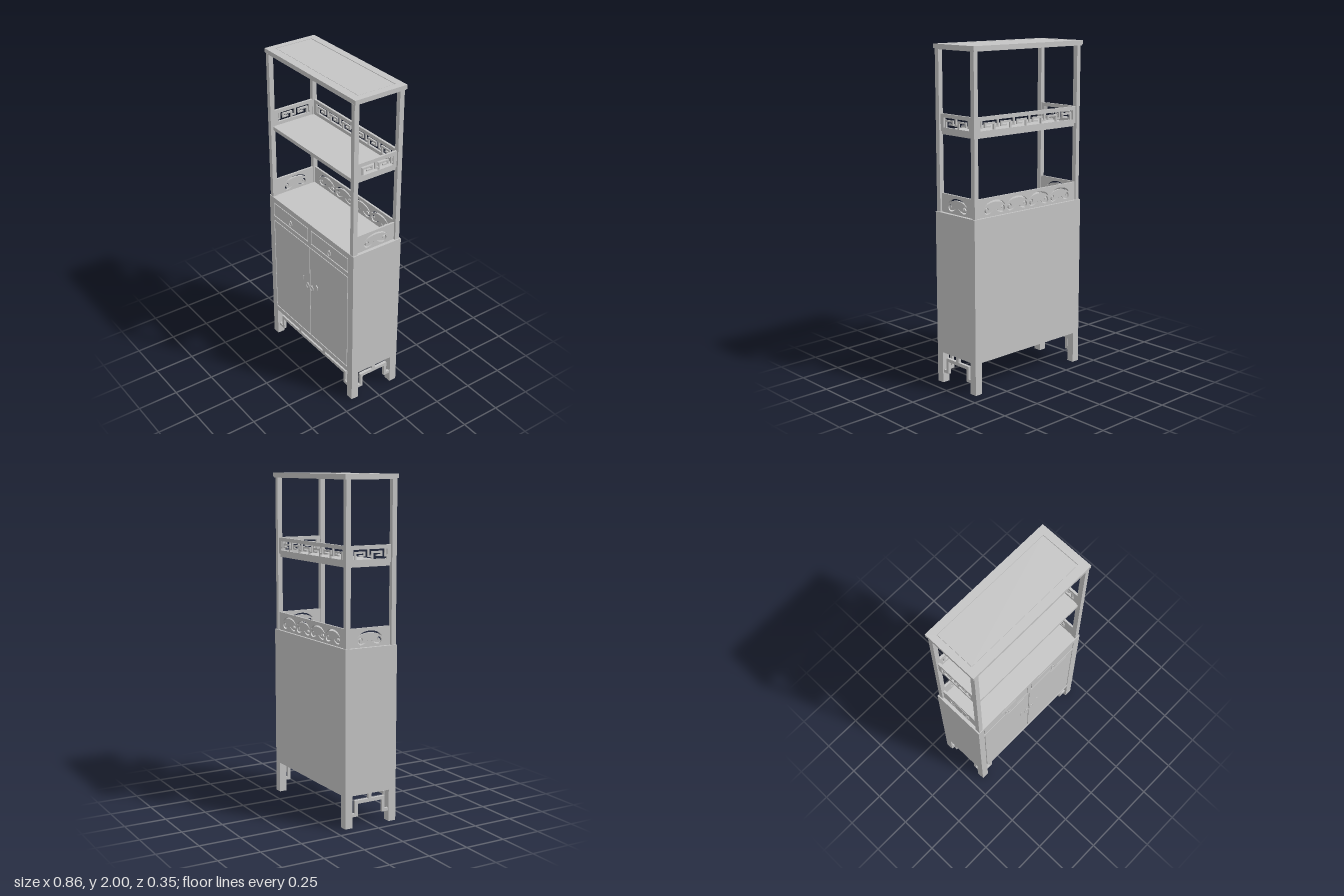
import * as THREE from 'three';

const grey = new THREE.MeshStandardMaterial({ color: 0xc4c4c4 });
grey.name = 'plain grey';

const mesh = (geo, name, parent) => {
  const m = new THREE.Mesh(geo, grey);
  m.name = name;
  parent.add(m);
  return m;
};

// Box given by its lower and upper bounds
function box(parent, name, x0, x1, y0, y1, z0, z1) {
  const m = mesh(new THREE.BoxGeometry(x1 - x0, y1 - y0, z1 - z0), name, parent);
  m.position.set((x0 + x1) / 2, (y0 + y1) / 2, (z0 + z1) / 2);
  return m;
}

const rect = (x0, x1, y0, y1) => [[x0, y0], [x1, y0], [x1, y1], [x0, y1]].map(p => new THREE.Vector2(...p));

// Flat board with cut-outs, from z = 0 to z = depth
function board(parent, name, outline, holes, depth) {
  const s = new THREE.Shape(outline);
  holes.forEach(h => s.holes.push(new THREE.Path(h)));
  return mesh(new THREE.ExtrudeGeometry(s, { depth, bevelEnabled: false, curveSegments: 8 }), name, parent);
}

// Closed ribbon following a curve, thin at both ends
function ribbon(points, width) {
  const curve = new THREE.CatmullRomCurve3(points.map(p => new THREE.Vector3(p[0], p[1], 0)));
  const a = [], b = [], n = 24;
  for (let i = 0; i <= n; i++) {
    const p = curve.getPoint(i / n), t = curve.getTangent(i / n);
    const w = width * (0.25 + 0.75 * Math.sin(Math.PI * i / n)) / 2;
    a.push(new THREE.Vector2(p.x - t.y * w, p.y + t.x * w));
    b.unshift(new THREE.Vector2(p.x + t.y * w, p.y - t.x * w));
  }
  return a.concat(b);
}

// Cloud scroll: an arched slot above and a curl on each side
function scroll(cx, s) {
  const at = pts => pts.map(([x, y]) => [cx + x * s, y]);
  const curl = [[0.012, 0.035], [0.035, 0.022], [0.062, 0.018], [0.074, 0.034], [0.064, 0.05], [0.05, 0.046], [0.05, 0.036]];
  return [
    ribbon(at([[-0.08, 0.058], [-0.05, 0.078], [0, 0.087], [0.05, 0.078], [0.08, 0.058]]), 0.011),
    ribbon(at(curl), 0.01),
    ribbon(at(curl.map(([x, y]) => [-x, y])), 0.01),
  ];
}

function scrollPanel(parent, name, half, count) {
  const holes = [], pitch = 0.176;
  for (let i = 0; i < count; i++) holes.push(...scroll((i - (count - 1) / 2) * pitch, 1));
  return board(parent, name, rect(-half, half, 0, 0.11), holes, 0.012);
}

// Railing: open frame filled with a running key pattern
function fretRail(parent, name, half, count) {
  const g = new THREE.Group();
  g.name = name;
  parent.add(g);
  const w = half - 0.025, y0 = 0.022, y1 = 0.078, t = 0.011;
  board(g, 'railFrame', rect(-half, half, 0, 0.1), [rect(-w, w, y0, y1)], 0.014);
  const p = 2 * w / count;
  for (let i = 0; i < count; i++) {
    const x = -w + i * p;
    const bar = (a, b, c, d) => box(g, 'keyBar', x + a * p, x + b * p, c, d, 0.002, 0.012);
    bar(0.08, 0.08 + t / p, y0, y1 - 0.012);
    bar(0.08, 0.72, y1 - 0.012 - t, y1 - 0.012);
    bar(0.72 - t / p, 0.72, y0 + 0.016, y1 - 0.012 - t);
    bar(0.36, 0.72 - t / p, y0 + 0.016, y0 + 0.016 + t * 0.8);
    bar(0.86, 0.86 + t / p, y0 + 0.012, y1);
    bar(0.86 + t / p, 1.08 - (i === count - 1 ? 0.08 : 0), y0 + 0.012, y0 + 0.012 + t * 0.8);
  }
  return g;
}

// Stepped apron between two legs, centred on its own origin
function apron(parent, name, half, step, struts) {
  const g = new THREE.Group();
  g.name = name;
  parent.add(g);
  const t = 0.018, d = 0.018;
  box(g, 'apronRail', -step, step, 0.137, 0.157, 0, d);
  for (const s of [-1, 1]) {
    box(g, 'apronDrop', s * (step - t / 2) - t / 2, s * (step - t / 2) + t / 2, 0.062, 0.137, 0, d);
    const a = s * step, b = s * half;
    box(g, 'apronFoot', Math.min(a, b), Math.max(a, b), 0.062, 0.08, 0, d);
  }
  struts.forEach(x => box(g, 'apronStrut', x - 0.011, x + 0.011, 0.157, 0.19, 0, d));
  return g;
}

export function createModel() {
  const model = new THREE.Group();
  model.name = 'displayCabinet';
  const front = 0.16, back = -0.18, mid = -0.01;

  // Cupboard carcass and legs
  box(model, 'cupboardBody', -0.43, 0.43, 0.19, 1.04, back, front - 0.008);
  for (const s of [-1, 1]) {
    for (const z of [front - 0.0235, back + 0.0235]) {
      box(model, 'leg', s * 0.4065 - 0.0235, s * 0.4065 + 0.0235, 0, 0.19, z - 0.0235, z + 0.0235);
    }
  }

  // Front frame with flush drawers and doors set in narrow grooves
  const openings = [
    ['drawerFront', -0.387, -0.018, 0.908, 1.005], ['drawerFront', 0.012, 0.381, 0.908, 1.005],
  ];
  const doorHole = rect(-0.387, 0.381, 0.222, 0.88);
  board(model, 'frontFrame', rect(-0.43, 0.43, 0.19, 1.04),
    [...openings.map(o => rect(...o.slice(1))), doorHole], 0.008).position.z = front - 0.008;
  const gap = 0.006;
  [...openings, ['door', -0.387, 0, 0.222, 0.88], ['door', -0.006, 0.381, 0.222, 0.88]].forEach(([name, x0, x1, y0, y1]) =>
    box(model, name, x0 + gap, x1 - gap, y0 + gap, y1 - gap, front - 0.008, front - 0.0005));

  // Drop pulls and leaf-shaped plates
  const pull = (x, y) => {
    const ring = mesh(new THREE.TorusGeometry(0.014, 0.003, 6, 16), 'dropPull', model);
    ring.scale.y = 1.25;
    ring.position.set(x, y, front + 0.003);
    const stud = mesh(new THREE.CylinderGeometry(0.004, 0.004, 0.01, 8).rotateX(Math.PI / 2), 'pullStud', model);
    stud.position.set(x, y + 0.018, front + 0.003);
  };
  pull(-0.2, 0.943);
  pull(0.2, 0.943);
  for (const s of [-1, 1]) {
    pull(s * 0.021 - 0.003, 0.59);
    board(model, 'leafPlate', ribbon([[s * 0.066, 0.64], [s * 0.075, 0.625], [s * 0.077, 0.605]], 0.012), [], 0.004).position.z = front;
  }

  // Stepped aprons at the front and both sides
  apron(model, 'frontApron', 0.385, 0.347, [-0.14, 0.12]).position.z = front - 0.03;
  for (const s of [-1, 1]) {
    const a = apron(model, 'sideApron', 0.125, 0.1, [0]);
    a.rotation.y = s * Math.PI / 2;
    a.position.set(s * 0.405, 0, mid);
  }

  // Slender posts
  for (const s of [-1, 1]) {
    for (const z of [0.142, -0.158]) {
      box(model, 'post', s * 0.408 - 0.014, s * 0.408 + 0.014, 1.04, 1.972, z - 0.015, z + 0.015);
    }
  }

  // Lower gallery and middle shelf with key railing, on the back and both sides
  scrollPanel(model, 'backScrollPanel', 0.395, 4).position.set(0, 1.04, -0.166);
  box(model, 'middleShelf', -0.402, 0.402, 1.49, 1.512, -0.155, 0.14);
  fretRail(model, 'backKeyRail', 0.395, 6).position.set(0, 1.51, -0.166);
  for (const s of [-1, 1]) {
    const panel = scrollPanel(model, 'sideScrollPanel', 0.135, 1);
    panel.rotation.y = s * Math.PI / 2;
    panel.position.set(s * 0.398, 1.04, mid);
    const rail = fretRail(model, 'sideKeyRail', 0.135, 2);
    rail.rotation.y = s * Math.PI / 2;
    rail.position.set(s * 0.398, 1.51, mid);
  }

  // Top board: a frame around a flush panel, divided by a fine groove
  box(model, 'topBase', -0.425, 0.425, 1.97, 1.994, -0.18, 0.156);
  const frame = board(model, 'topFrame', rect(-0.43, 0.43, -0.16, 0.183), [rect(-0.392, 0.386, -0.11, 0.138)], 0.024);
  frame.rotation.x = -Math.PI / 2;
  frame.position.y = 1.976;
  box(model, 'topPanel', -0.389, 0.383, 1.98, 1.999, -0.135, 0.107);
  return model;
}
